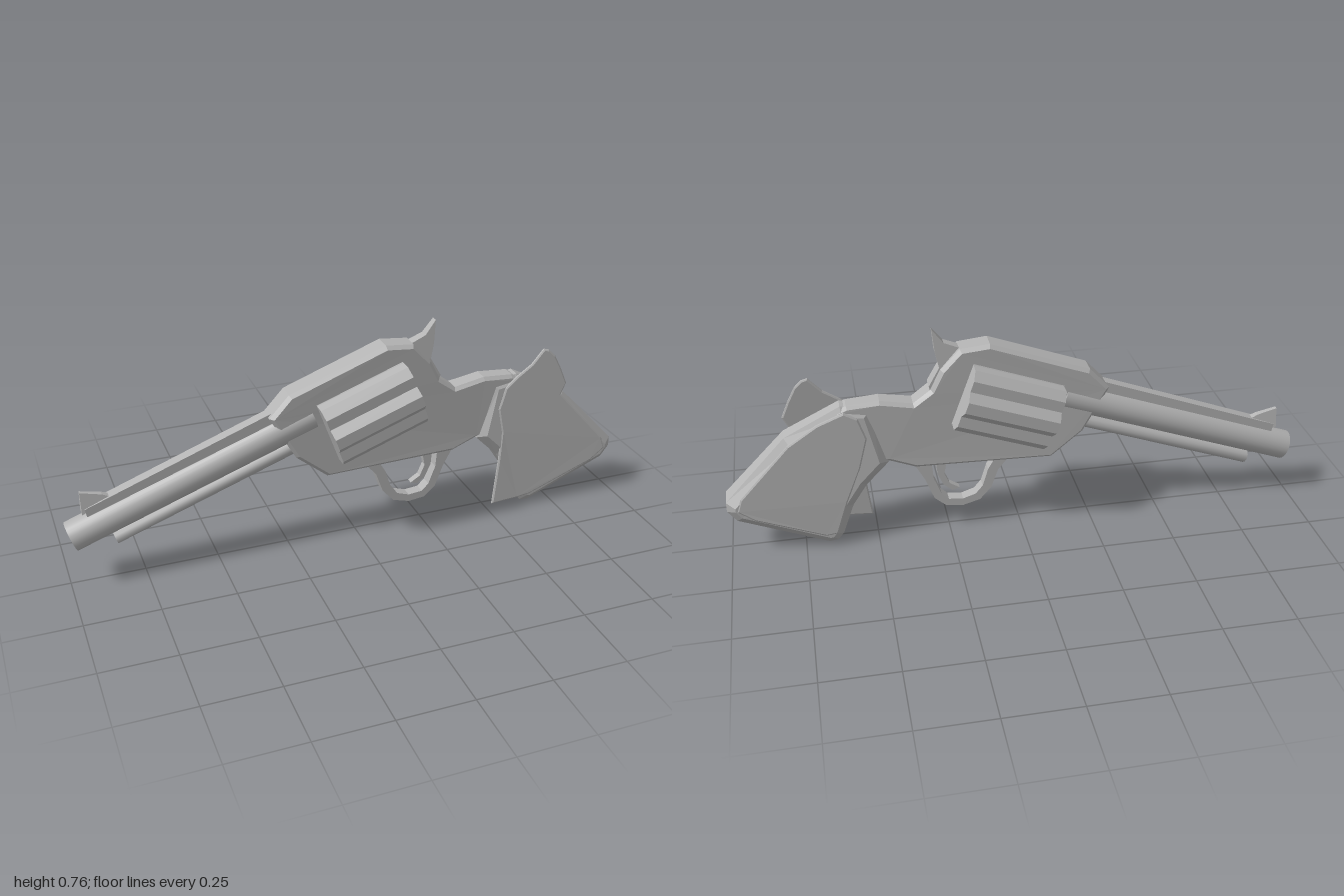
import * as THREE from 'three';
import { toCreasedNormals } from 'three/addons/utils/BufferGeometryUtils.js';

const steel = new THREE.MeshStandardMaterial({ color: 0xb4b4b4 });
steel.name = 'grey steel';
const TILT = 0.345; // slope of the barrel line

const toShape = (pts) => new THREE.Shape(pts.map(([x, y]) => new THREE.Vector2(x, y)));

function part(group, name, geometry) {
  const mesh = new THREE.Mesh(geometry, steel);
  mesh.name = name;
  group.add(mesh);
  return mesh;
}

// Side outline with chamfered edges; halfZ(x, y) sets half thickness, midZ(x, y) its centre.
function slab(shape, bevel, bevelZ, halfZ, midZ = () => 0) {
  const g = new THREE.ExtrudeGeometry(shape, {
    depth: 2 - 2 * bevelZ, bevelEnabled: bevel > 0, bevelSize: bevel, bevelOffset: -bevel,
    bevelThickness: bevelZ, bevelSegments: 1, curveSegments: 8,
  });
  g.translate(0, 0, bevelZ - 1);
  const p = g.attributes.position;
  for (let i = 0; i < p.count; i++) {
    const x = p.getX(i), y = p.getY(i);
    p.setZ(i, midZ(x, y) + p.getZ(i) * halfZ(x, y));
  }
  g.computeVertexNormals();
  return g;
}

// Turned part whose axis runs rearward along the barrel line from (x, y).
function turned(profile, x, y, sides) {
  const g = new THREE.LatheGeometry(profile.map(([r, h]) => new THREE.Vector2(r, h)), sides);
  g.rotateZ(-Math.PI / 2 + TILT).translate(x, y, 0);
  return toCreasedNormals(g, 0.7);
}

export function createModel() {
  const model = new THREE.Group();
  model.name = 'revolver';
  const lerp = THREE.MathUtils.mapLinear, clamp = THREE.MathUtils.clamp;

  // Frame, thinning toward the grip
  const frame = toShape([
    [-0.31, 0.50], [-0.22, 0.34], [-0.11, 0.25], [0.36, 0.26], [0.45, 0.295], [0.6, 0.3],
    [0.62, 0.5], [0.58, 0.517], [0.47, 0.525], [0.36, 0.505], [0.3, 0.55], [0.265, 0.62],
    [0.2, 0.69], [0.1, 0.7], [-0.24, 0.575],
  ]);
  part(model, 'frame', slab(frame, 0.012, 0.3, (x) => clamp(lerp(x, 0.15, 0.55, 0.045, 0.034), 0.034, 0.045)));

  // Hammer, narrowing to the spur
  const hammer = toShape([
    [0.17, 0.62], [0.3, 0.54], [0.305, 0.56], [0.268, 0.625], [0.28, 0.68], [0.287, 0.758],
    [0.25, 0.71], [0.19, 0.685],
  ]);
  part(model, 'hammer', slab(hammer, 0, 0, (x, y) => clamp(lerp(y, 0.61, 0.757, 0.025, 0.012), 0.012, 0.025)));

  // Barrel with open bore
  part(model, 'barrel', turned([
    [0.036, 0.25], [0.036, 0], [0.052, 0], [0.052, 0.88], [0, 0.88],
  ], -0.982, 0.178, 24));
  part(model, 'boreEnd', turned([[0, 0.24], [0.037, 0.24]].reverse(), -0.982, 0.178, 24));

  // Rib on top of the barrel, and front sight
  const rib = toShape([[-0.92, 0.225], [-0.2, 0.48], [-0.2, 0.545], [-0.3, 0.512], [-0.93, 0.278]]);
  part(model, 'barrelRib', slab(rib, 0, 0, () => 0.02));
  const sight = toShape([[-0.94, 0.26], [-0.83, 0.3], [-0.87, 0.318], [-0.94, 0.335]]);
  part(model, 'frontSight', slab(sight, 0, 0, (x, y) => lerp(y, 0.26, 0.335, 0.02, 0.007)));

  // Ejector tube under the barrel
  part(model, 'ejectorTube', turned([
    [0, 0], [0.024, 0], [0.024, 0.72], [0, 0.72],
  ], -0.84, 0.145, 10));

  // Fluted cylinder with eight lobes
  const lobes = [];
  for (let i = 0; i < 8; i++) {
    for (const [offset, r] of [[-8, 0.142], [8, 0.142], [22.5, 0.122]]) {
      const a = THREE.MathUtils.degToRad(i * 45 + offset);
      lobes.push([r * Math.cos(a), r * Math.sin(a)]);
    }
  }
  const drum = new THREE.ExtrudeGeometry(toShape(lobes), { depth: 0.325, bevelEnabled: false });
  drum.translate(0, 0, -0.1625).rotateY(Math.PI / 2).rotateZ(TILT).translate(0.043, 0.474, 0);
  part(model, 'cylinder', drum);

  // Trigger guard loop
  const guard = toShape([
    [0.03, 0.265], [0.075, 0.21], [0.1, 0.14], [0.14, 0.095], [0.2, 0.078], [0.26, 0.085],
    [0.3, 0.12], [0.33, 0.2], [0.365, 0.265],
  ]);
  guard.holes.push(new THREE.Path([
    [0.085, 0.258], [0.305, 0.258], [0.3, 0.2], [0.275, 0.135], [0.25, 0.11], [0.2, 0.105],
    [0.155, 0.12], [0.13, 0.15], [0.11, 0.215],
  ].map(([x, y]) => new THREE.Vector2(x, y))));
  part(model, 'triggerGuard', slab(guard, 0, 0, () => 0.02));

  // Trigger
  const trigger = toShape([
    [0.25, 0.27], [0.262, 0.21], [0.245, 0.17], [0.21, 0.148], [0.235, 0.14], [0.265, 0.165],
    [0.285, 0.21], [0.29, 0.27],
  ]);
  part(model, 'trigger', slab(trigger, 0, 0, () => 0.012));

  // Grip core, widening toward the butt
  const gripZ = (x, y) => clamp(lerp(y, 0.2, 0.52, 0.063, 0.038), 0.038, 0.063);
  const grip = toShape([
    [0.45, 0.295], [0.53, 0.215], [0.58, 0.14], [0.62, 0.03], [0.64, 0.005], [0.67, 0.0],
    [0.97, 0.125], [1.0, 0.165], [1.0, 0.2], [0.79, 0.42], [0.6, 0.516], [0.5, 0.5],
  ]);
  part(model, 'gripCore', slab(grip, 0.03, 0.42, gripZ));

  // Grip panels: flared on the left face, fitted on the right face
  const panelZ = (x, y) => clamp(lerp(y, 0.1, 0.6, 0.064, 0.034), 0.034, 0.064);
  const flared = toShape([
    [0.51, 0.03], [0.61, 0.036], [0.66, 0.042], [0.91, 0.135], [0.965, 0.175], [0.95, 0.22],
    [0.77, 0.42], [0.79, 0.46], [0.765, 0.52], [0.74, 0.57], [0.715, 0.595], [0.695, 0.6],
    [0.65, 0.55], [0.59, 0.51], [0.55, 0.475], [0.525, 0.4], [0.54, 0.31], [0.53, 0.2],
  ]);
  part(model, 'flaredGripPanel', slab(flared, 0.005, 0.5, () => 0.006, panelZ));
  const fitted = toShape([
    [0.64, 0.05], [0.68, 0.045], [0.91, 0.135], [0.965, 0.175], [0.95, 0.22], [0.78, 0.4],
    [0.68, 0.465], [0.59, 0.5], [0.545, 0.475], [0.52, 0.4], [0.55, 0.29], [0.6, 0.17],
  ]);
  part(model, 'fittedGripPanel', slab(fitted, 0.005, 0.5, () => 0.006, (x, y) => -panelZ(x, y)));

  return model;
}
